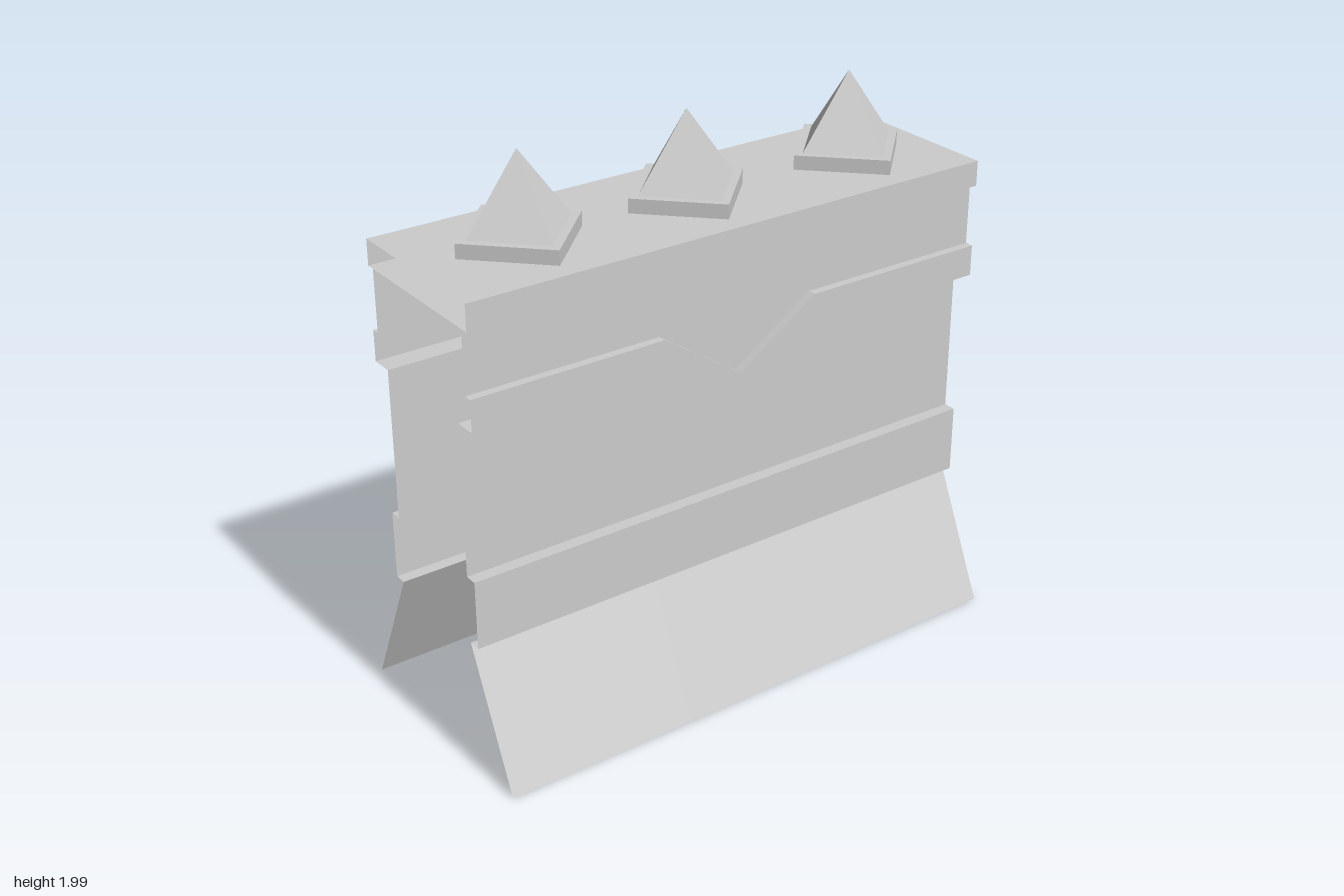
import * as THREE from 'three';

const material = new THREE.MeshStandardMaterial({ color: 0xcccccc, flatShading: true, side: THREE.DoubleSide });

function addMesh(parent, name, geometry, x = 0, y = 0, z = 0) {
  const mesh = new THREE.Mesh(geometry, material);
  mesh.name = name;
  mesh.position.set(x, y, z);
  parent.add(mesh);
  return mesh;
}

// Sheet lofted through rows of [y, dip of the central V, z], listed from top to bottom
function sheet(rows) {
  const xs = [-1, -0.3, 0, 0.3, 1];
  const point = (row, i) => [xs[i], row[0] - (i === 2 ? row[1] : 0), row[2]];
  const positions = [];
  for (let r = 0; r < rows.length - 1; r++) {
    for (let i = 0; i < xs.length - 1; i++) {
      const a = point(rows[r], i), b = point(rows[r], i + 1);
      const c = point(rows[r + 1], i), d = point(rows[r + 1], i + 1);
      positions.push(...a, ...c, ...d, ...a, ...d, ...b);
    }
  }
  const geometry = new THREE.BufferGeometry();
  geometry.setAttribute('position', new THREE.Float32BufferAttribute(positions, 3));
  geometry.computeVertexNormals();
  return geometry;
}

// One long side, facing +z
function createSide() {
  const side = new THREE.Group();
  addMesh(side, 'upperFascia', sheet([[1.59, 0, 0.27], [1.37, 0.2, 0.27]]));
  addMesh(side, 'notchedTrim', sheet([
    [1.37, 0.2, 0.27], [1.37, 0.2, 0.3], [1.26, 0.21, 0.3], [1.26, 0.21, 0.22],
  ]));
  addMesh(side, 'wall', sheet([[1.26, 0.21, 0.22], [0.72, 0, 0.22]]));
  addMesh(side, 'lowerTrim', sheet([
    [0.72, 0, 0.22], [0.72, 0, 0.265], [0.475, 0, 0.265], [0.475, 0, 0.22],
  ]));
  addMesh(side, 'skirt', sheet([[0.475, 0, 0.22], [0, 0, 0.44]]));
  return side;
}

export function createModel() {
  const model = new THREE.Group();
  model.name = 'wallSection';

  // Front and back sides, with the lower trims closed at the +x end only
  for (const sign of [1, -1]) {
    const side = createSide();
    side.name = sign > 0 ? 'frontSide' : 'backSide';
    if (sign < 0) side.rotation.y = Math.PI;
    model.add(side);
    const end = new THREE.PlaneGeometry(0.045, 0.245).rotateY(Math.PI / 2);
    addMesh(model, 'lowerTrimEnd', end, 1, 0.5975, sign * 0.2425);
  }

  // Cap slab, left open at the -x end
  const slab = new THREE.BoxGeometry(2, 0.09, 0.6);
  const index = Array.from(slab.index.array);
  index.splice(6, 6);
  slab.setIndex(index);
  slab.clearGroups();
  addMesh(model, 'cap', slab, 0, 1.635, 0);

  // Pyramid spikes on diamond plinths
  for (const x of [-0.63, 0, 0.67]) {
    const spike = new THREE.Group();
    spike.name = 'spike';
    spike.position.set(x, 1.68, 0);
    addMesh(spike, 'plinth', new THREE.CylinderGeometry(0.228, 0.228, 0.05, 4), 0, 0.025, 0);
    addMesh(spike, 'pyramid', new THREE.ConeGeometry(0.19, 0.255, 4), 0, 0.1775, 0);
    model.add(spike);
  }
  return model;
}
